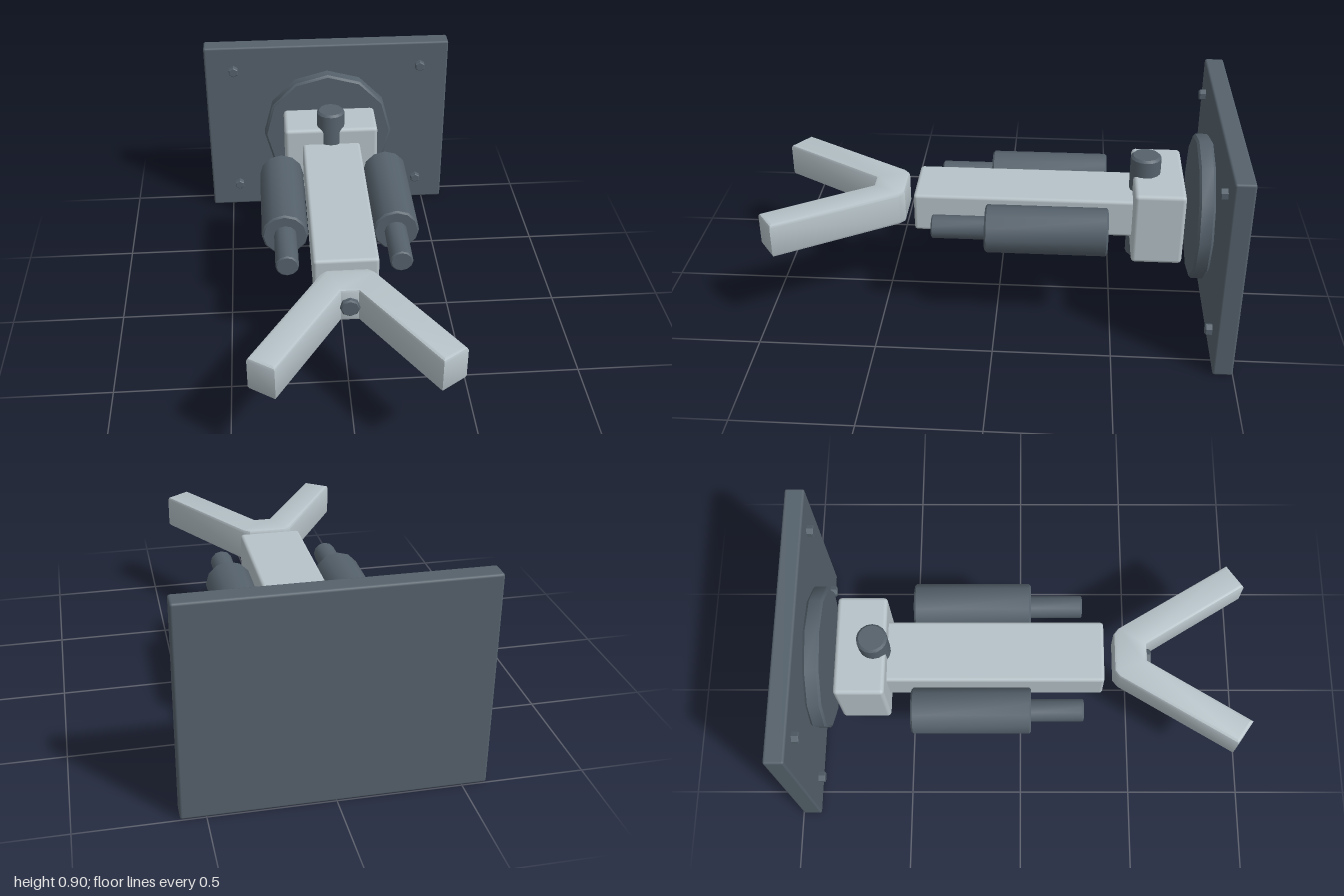
import * as THREE from 'three';
import { toCreasedNormals } from 'three/addons/utils/BufferGeometryUtils.js';
import { RoundedBoxGeometry } from 'three/addons/geometries/RoundedBoxGeometry.js';

const AXIS_Y = 0.455; // height of the arm's centre line

export function createModel() {
  const group = new THREE.Group();
  const darkSteel = new THREE.MeshStandardMaterial({ color: 0x55616b });
  darkSteel.name = 'dark steel';
  const paleSteel = new THREE.MeshStandardMaterial({ color: 0xb6c2c8 });
  paleSteel.name = 'pale steel';

  const add = (name, geometry, material, x = 0, y = 0, z = 0) => {
    const mesh = new THREE.Mesh(geometry, material);
    mesh.name = name;
    mesh.position.set(x, y, z);
    group.add(mesh);
    return mesh;
  };

  // Box with softened edges, given by its limits along z
  const box = (name, material, w, h, y, z0, z1, bevel) =>
    add(name, new RoundedBoxGeometry(w, h, z1 - z0, 2, bevel), material, 0, y, (z0 + z1) / 2);

  // Chamfered cylinder along y, starting at 0
  const rod = (radius, length, bevel, sides) => {
    const profile = [
      [0, 0], [radius - bevel, 0], [radius, bevel],
      [radius, length - bevel], [radius - bevel, length], [0, length],
    ].map(([x, y]) => new THREE.Vector2(x, y));
    return toCreasedNormals(new THREE.LatheGeometry(profile, sides), 0.6);
  };
  // The same cylinder along z
  const rodZ = (name, x, y, z0, z1, radius, bevel, sides) =>
    add(name, rod(radius, z1 - z0, bevel, sides).rotateX(Math.PI / 2), darkSteel, x, y, z0);

  // Wall mount
  box('mountingPlate', darkSteel, 1.2, 0.9, 0.45, -1, -0.916, 0.01);
  for (const x of [-0.46, 0.46]) {
    for (const y of [0.13, 0.78]) rodZ('plateBolt', x, y, -0.93, -0.887, 0.025, 0.004, 6);
  }
  rodZ('turntable', 0, AXIS_Y, -0.908, -0.839, 0.317, 0.01, 12);

  // Hinge
  box('hingeBlock', paleSteel, 0.444, 0.33, AXIS_Y, -0.795, -0.578, 0.018);
  add('hingePin', rod(0.066, 0.49, 0.01, 16), darkSteel, 0, 0.21, -0.63);

  // Arm with a piston on each side
  box('arm', paleSteel, 0.276, 0.174, AXIS_Y, -0.6, 0.364, 0.015);
  for (const side of [-1, 1]) {
    rodZ('pistonCylinder', side * 0.245, AXIS_Y, -0.472, 0.046, 0.102, 0.008, 12);
    rodZ('pistonRod', side * 0.243, AXIS_Y, 0.02, 0.274, 0.05, 0.006, 12);
  }

  // Forked gripper, drawn from above and mirrored
  const half = [[0.085, 0.408], [0.113, 0.43], [0.415, 0.925], [0.312, 0.997], [0.036, 0.552]];
  const outline = [...half, ...half.map(([x, z]) => [-x, z]).reverse()];
  const bevel = 0.014;
  const height = 0.156;
  const fork = new THREE.ExtrudeGeometry(
    new THREE.Shape(outline.map(([x, z]) => new THREE.Vector2(x, -z))),
    { depth: height - 2 * bevel, bevelThickness: bevel, bevelSize: bevel, bevelOffset: -bevel, bevelSegments: 2 },
  );
  fork.translate(0, 0, bevel - height / 2).rotateX(-Math.PI / 2);
  add('gripperFork', toCreasedNormals(fork, 0.5), paleSteel, 0, AXIS_Y, 0);
  rodZ('gripperPin', 0, AXIS_Y, 0.43, 0.574, 0.041, 0.006, 8);

  return group;
}
